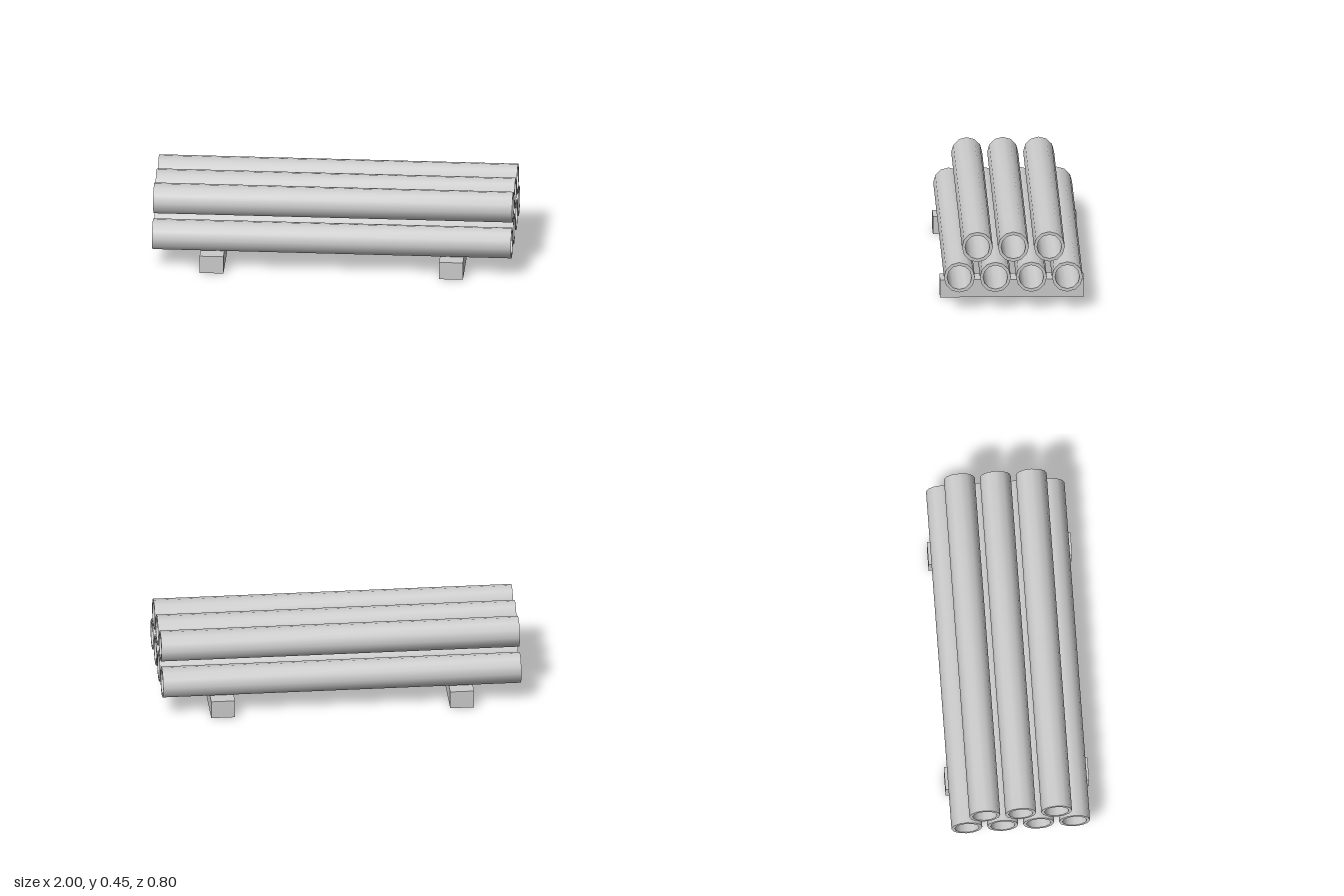
import * as THREE from 'three';
import { toCreasedNormals } from 'three/addons/utils/BufferGeometryUtils.js';

export function createModel() {
  const group = new THREE.Group();
  group.name = 'pipeStack';
  const steel = new THREE.MeshStandardMaterial({ name: 'light grey', color: 0xcccccc });

  // Twelve-sided hollow pipe along x, smooth around, sharp at the rims
  const ring = new THREE.Shape().absarc(0, 0, 0.086, 0, Math.PI * 2);
  ring.holes.push(new THREE.Path().absarc(0, 0, 0.0685, 0, Math.PI * 2, true));
  const extruded = new THREE.ExtrudeGeometry(ring, { depth: 2, curveSegments: 6, bevelEnabled: false });
  extruded.translate(0, 0, -1).rotateY(Math.PI / 2);
  const pipeGeometry = toCreasedNormals(extruded, 0.6);

  // Four pipes below, three above in the gaps
  const rows = [
    { name: 'lowerPipe', count: 4, y: 0.187 },
    { name: 'upperPipe', count: 3, y: 0.361 },
  ];
  for (const { name, count, y } of rows) {
    for (let i = 0; i < count; i++) {
      const pipe = new THREE.Mesh(pipeGeometry, steel);
      pipe.name = name + (i + 1);
      pipe.position.set(0, y, (i - (count - 1) / 2) * 0.2);
      group.add(pipe);
    }
  }

  // Two support beams across the bottom
  const beamGeometry = new THREE.BoxGeometry(0.133, 0.101, 0.8);
  for (const side of [-1, 1]) {
    const beam = new THREE.Mesh(beamGeometry, steel);
    beam.name = side > 0 ? 'leftBeam' : 'rightBeam';
    beam.position.set(side * 0.667, 0.0505, 0);
    group.add(beam);
  }
  return group;
}
